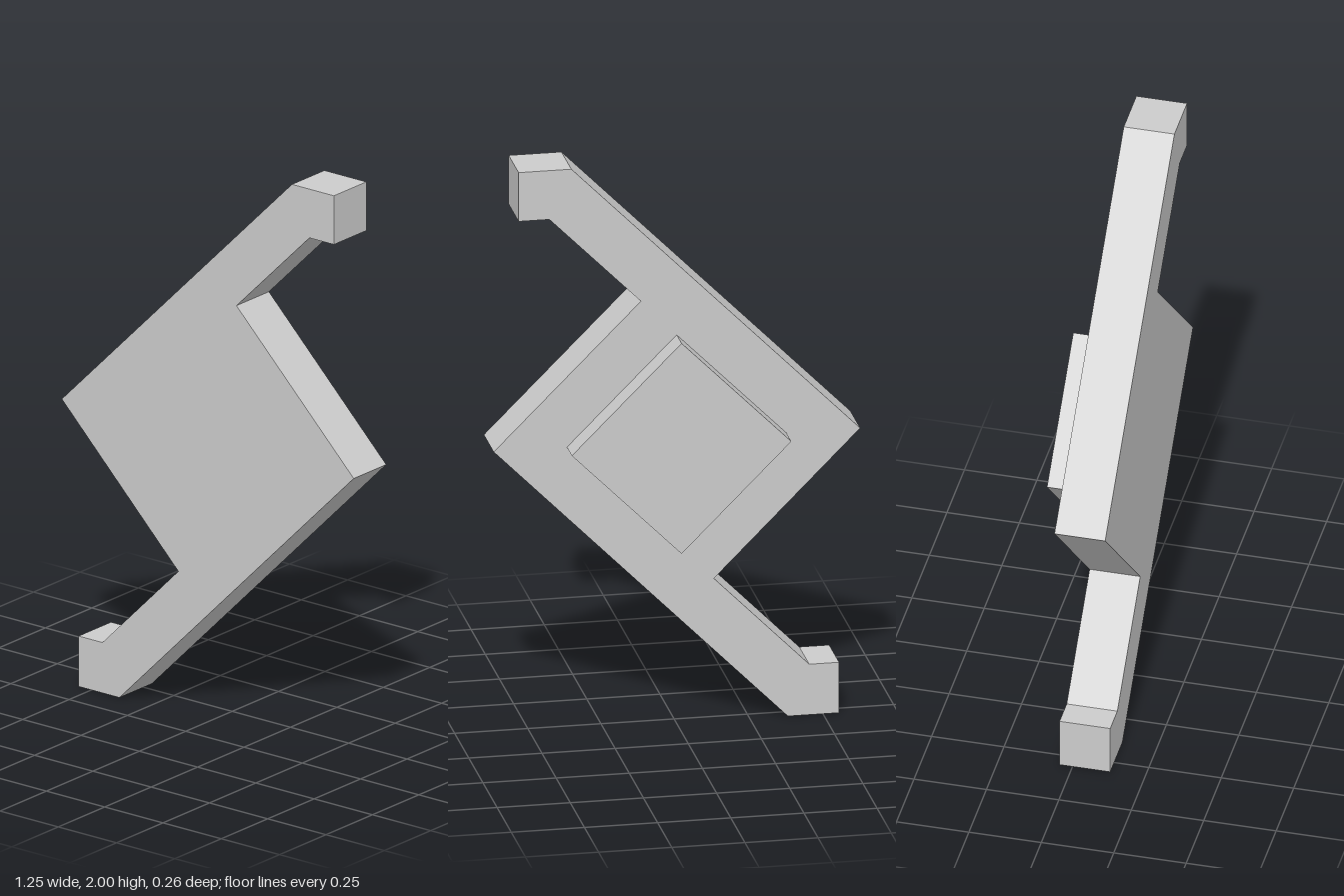
import * as THREE from 'three';

const material = new THREE.MeshStandardMaterial({ color: 0xcccccc, flatShading: true });

// Extrude an xy outline between two depths
function plate(name, points, zBack, zFront) {
  const shape = new THREE.Shape(points.map(([x, y]) => new THREE.Vector2(x, y)));
  const geometry = new THREE.ExtrudeGeometry(shape, { depth: zFront - zBack, bevelEnabled: false });
  geometry.translate(0, 0, zBack);
  const mesh = new THREE.Mesh(geometry, material);
  mesh.name = name;
  return mesh;
}

export function createModel() {
  const group = new THREE.Group();
  group.name = 'diamondBracket';

  // Diamond plate with a hooked arm at each end, in one outline
  group.add(plate('bodyWithArms', [
    [-0.627, 1.01], [-0.127, 0.508], [-0.453, 0.18], [-0.555, 0.18], [-0.555, 0], [-0.38, 0],
    [0.625, 1.01], [0.122, 1.513], [0.435, 1.826], [0.54, 1.826], [0.54, 2], [0.36, 2],
  ], -0.045, 0.13));

  // Smaller raised diamond on the back
  const r = 0.375;
  group.add(plate('backPad', [
    [0, 1.01 - r], [r, 1.01], [0, 1.01 + r], [-r, 1.01],
  ], -0.132, -0.045));

  return group;
}
